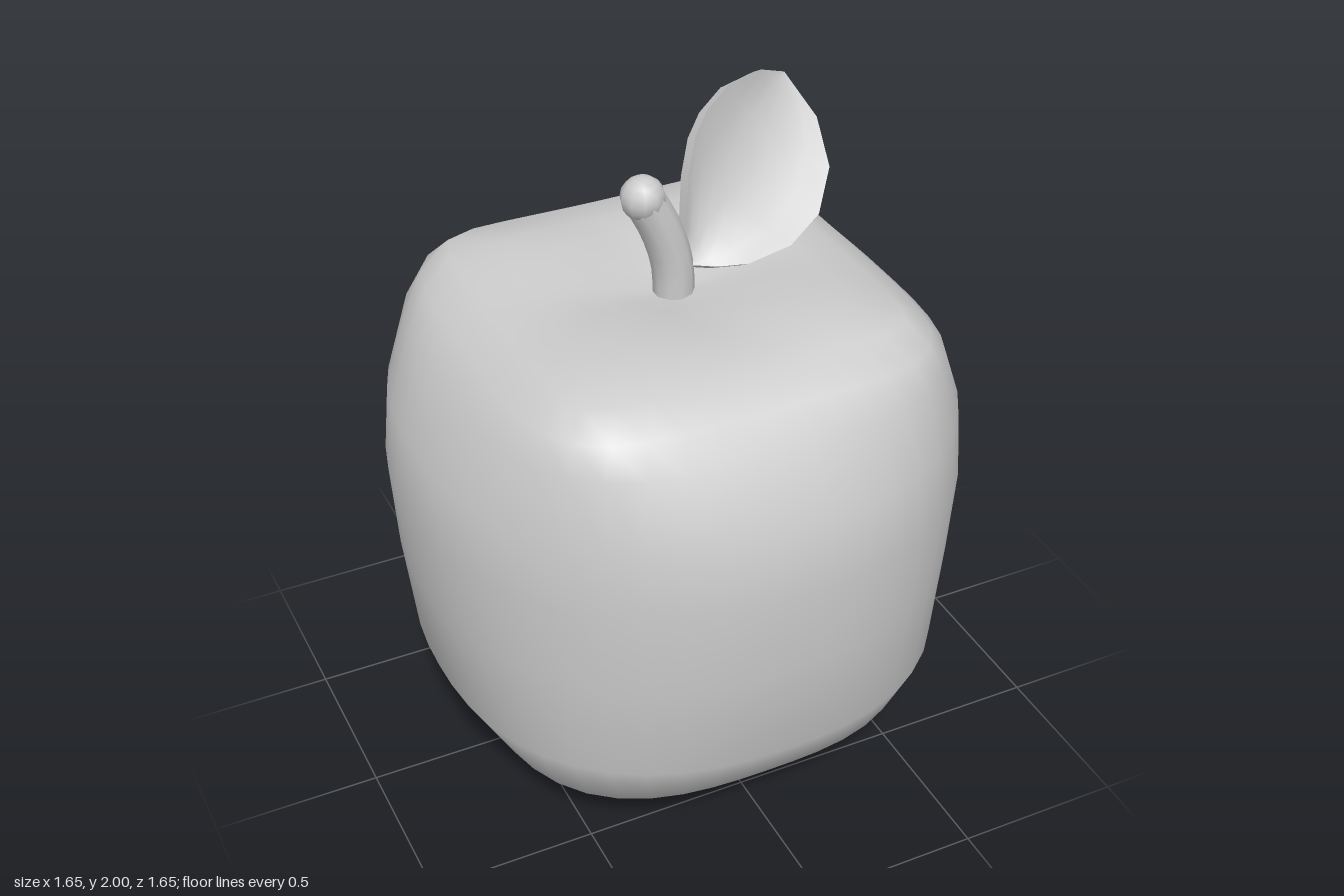
import * as THREE from 'three';
import { toCreasedNormals } from 'three/addons/utils/BufferGeometryUtils.js';

const material = new THREE.MeshStandardMaterial({ color: 0xcccccc });

// Skin a series of closed rings that all have the same number of points
function loft(rings) {
  const n = rings[0].length;
  const index = [];
  for (let i = 0; i < rings.length - 1; i++) {
    for (let j = 0; j < n; j++) {
      const a = i * n + j, d = i * n + (j + 1) % n;
      const b = a + n, c = d + n;
      index.push(a, b, c, a, c, d);
    }
  }
  const geometry = new THREE.BufferGeometry().setFromPoints(rings.flat());
  geometry.setIndex(index);
  geometry.computeVertexNormals();
  return geometry;
}

function addMesh(parent, name, geometry) {
  const mesh = new THREE.Mesh(geometry, material);
  mesh.name = name;
  parent.add(mesh);
  return mesh;
}

// Fruit: rounded-square sections, squarer towards the top shoulders
function fruitGeometry() {
  // half-width, height, corner reach relative to half-width, dip between corners
  const sections = [
    [0, 0, 1.03, 0], [0.1, 0.002, 1.04, 0], [0.29, 0.03, 1.08, 0], [0.5, 0.09, 1.11, 0],
    [0.66, 0.19, 1.11, 0], [0.77, 0.37, 1.055, 0], [0.81, 0.7, 1.035, 0], [0.826, 0.97, 1.035, 0],
    [0.8, 1.18, 1.05, 0], [0.7, 1.37, 1.14, 0], [0.62, 1.45, 1.22, 0], [0.52, 1.515, 1.32, 0.005],
    [0.4, 1.535, 1.3, 0.015], [0.28, 1.54, 1.24, 0.02], [0.12, 1.495, 1.1, 0.005], [0, 1.475, 1.03, 0],
  ];
  const sides = 48;
  return loft(sections.map(([half, y, corner, dip]) => {
    const power = 1 / (0.5 - Math.log2(corner));
    return Array.from({ length: sides }, (_, j) => {
      const t = j / sides * Math.PI * 2;
      const c = Math.cos(t), s = Math.sin(t);
      const r = half / Math.pow(Math.abs(c) ** power + Math.abs(s) ** power, 1 / power);
      return new THREE.Vector3(r * c, y - dip * Math.cos(2 * t) ** 2, r * s);
    });
  }));
}

// Leaf: cupped slab lofted between its lower and upper edges
function leafGeometry() {
  const lower = [
    [0.04, 1.565, 0.02], [0.12, 1.56, 0.06], [0.2, 1.565, 0.09], [0.34, 1.585, 0.08],
    [0.45, 1.64, 0.04], [0.53, 1.73, -0.05], [0.55, 1.83, -0.17], [0.515, 1.92, -0.31],
  ];
  const upper = [
    [0.04, 1.565, 0.02], [0.05, 1.7, 0], [0.07, 1.82, -0.03], [0.11, 1.91, -0.07],
    [0.16, 1.965, -0.1], [0.25, 2, -0.15], [0.39, 1.99, -0.22], [0.515, 1.92, -0.31],
  ];
  const normal = new THREE.Vector3(0.19, 0.51, 0.84).normalize();
  const across = 6, thickness = 0.04;
  const rings = lower.map((p, i) => {
    const a = new THREE.Vector3(...p), b = new THREE.Vector3(...upper[i]);
    const cup = 0.17 * a.distanceTo(b);
    const front = [];
    for (let j = 0; j <= across; j++) {
      const t = j / across;
      front.push(a.clone().lerp(b, t).addScaledVector(normal, -cup * 4 * t * (1 - t)));
    }
    const back = front.map((v) => v.clone().addScaledVector(normal, -thickness)).reverse();
    return [...front, ...back];
  });
  return toCreasedNormals(loft(rings), 0.8);
}

export function createModel() {
  const model = new THREE.Group();
  model.name = 'apple';

  addMesh(model, 'fruit', fruitGeometry());

  // Bent stem with a rounded tip
  const stem = new THREE.Group();
  stem.name = 'stem';
  model.add(stem);
  const path = new THREE.CatmullRomCurve3([
    new THREE.Vector3(0.01, 1.42, 0), new THREE.Vector3(0.005, 1.57, 0),
    new THREE.Vector3(-0.03, 1.69, 0), new THREE.Vector3(-0.082, 1.795, 0),
  ]);
  addMesh(stem, 'stemShaft', new THREE.TubeGeometry(path, 8, 0.06, 10));
  const tip = addMesh(stem, 'stemTip', new THREE.SphereGeometry(0.065, 10, 8));
  tip.position.set(-0.084, 1.798, 0);

  addMesh(model, 'leaf', leafGeometry());
  return model;
}
